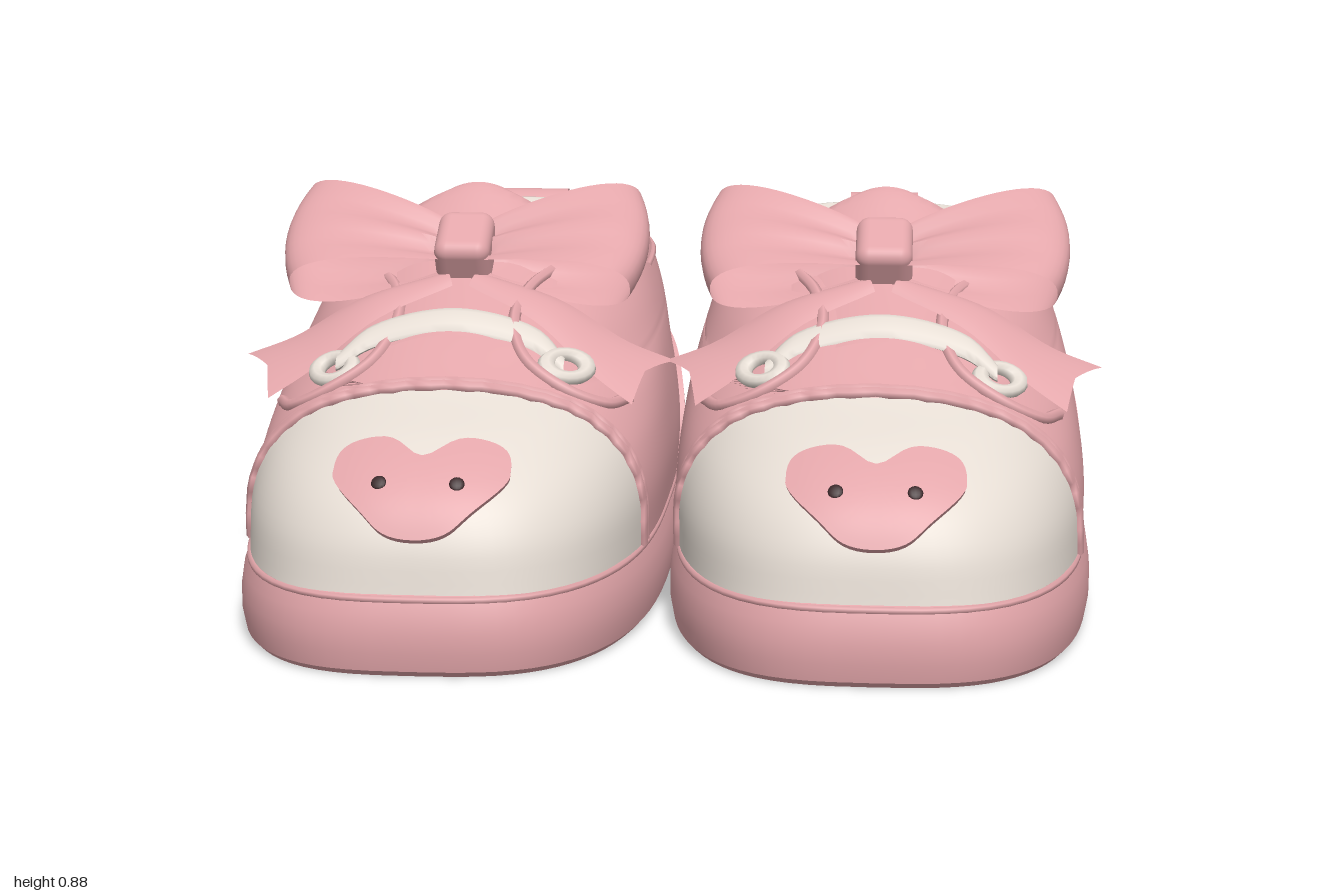
import * as THREE from 'three';
import { mergeVertices, toCreasedNormals } from 'three/addons/utils/BufferGeometryUtils.js';
import { RoundedBoxGeometry } from 'three/addons/geometries/RoundedBoxGeometry.js';

const V = (x, y, z) => new THREE.Vector3(x, y, z);
const TAU = Math.PI * 2;
const spow = (v, p) => Math.sign(v) * Math.pow(Math.abs(v), p);
const { clamp, smoothstep } = THREE.MathUtils;

function material(name, color) {
  const m = new THREE.MeshStandardMaterial({ color, side: THREE.DoubleSide });
  m.name = name;
  return m;
}

// Surface from a rule fn(u, v) -> Vector3, with u and v in 0..1
function grid(nu, nv, fn, crease = 0.9) {
  const pos = [], idx = [];
  for (let j = 0; j <= nv; j++)
    for (let i = 0; i <= nu; i++) pos.push(...fn(i / nu, j / nv).toArray());
  for (let j = 0; j < nv; j++)
    for (let i = 0; i < nu; i++) {
      const a = j * (nu + 1) + i, d = a + nu + 1;
      idx.push(a, a + 1, d + 1, a, d + 1, d);
    }
  const g = new THREE.BufferGeometry();
  g.setAttribute('position', new THREE.Float32BufferAttribute(pos, 3));
  g.setIndex(idx);
  return toCreasedNormals(mergeVertices(g, 1e-5), crease);
}

const tube = (pts, r, closed = false) =>
  new THREE.TubeGeometry(new THREE.CatmullRomCurve3(pts, closed), closed ? 96 : 48, r, 6, closed);

// Horizontal ring: superellipse with half width, front z, back z, front y, back y, exponent
const ring = (hw, zf, zb, yf, yb, n) => ({ hw, zf, zb, yf, yb, n });
const ringY = (r, c) => r.yb + (r.yf - r.yb) * smoothstep(c, -0.3, 0.6);
function onRing(r, a) {
  const c = Math.cos(a), zc = (r.zf + r.zb) / 2;
  return V(r.hw * spow(Math.sin(a), 2 / r.n), ringY(r, c), zc + (r.zf - zc) * spow(c, 2 / r.n));
}

// Upper: rings from the sole edge to the collar
const UPPER = [
  [0.447, 0.968, -0.82, 0.16, 0.16, 3], [0.453, 0.945, -0.83, 0.27, 0.28, 2.8],
  [0.443, 0.885, -0.83, 0.36, 0.39, 2.55], [0.425, 0.76, -0.82, 0.44, 0.49, 2.3],
  [0.403, 0.57, -0.81, 0.51, 0.57, 2.3], [0.375, 0.40, -0.80, 0.60, 0.64, 2.3],
  [0.34, 0.22, -0.79, 0.685, 0.703, 2.25], [0.3, 0.1, -0.765, 0.745, 0.725, 2.15]];
const LAST = UPPER.length - 1, CAP = 4;
const curveA = new THREE.CatmullRomCurve3(UPPER.map(r => V(r[0], r[1], r[2])), false, 'catmullrom');
const curveB = new THREE.CatmullRomCurve3(UPPER.map(r => V(r[3], r[4], r[5])), false, 'catmullrom');
function upperRing(t) {
  const a = curveA.getPoint(clamp(t / LAST, 0, 1)), b = curveB.getPoint(clamp(t / LAST, 0, 1));
  return ring(a.x, a.y, a.z, b.x, b.y, b.z);
}
// Angle at which the toe cap seam crosses the ring
function seamAngle(t) {
  if (t >= CAP) return 0;
  const r = upperRing(t), zc = (r.zf + r.zb) / 2, cut = 0.53 + 0.01 * t;
  return Math.acos(clamp(((cut - zc) / (r.zf - zc)) ** (r.n / 2), 0, 1));
}

function createShoe(side, mats) {
  const { pink, cream, dark } = mats;
  const shoe = new THREE.Group();
  shoe.name = side > 0 ? 'leftShoe' : 'rightShoe';
  const add = (name, geo, mat, parent = shoe) => {
    const m = new THREE.Mesh(geo, mat);
    m.name = name;
    parent.add(m);
    return m;
  };
  const shift = -side * 0.02;
  const upper = (t, a) => {
    const p = onRing(upperRing(t), a);
    p.x += shift * t / LAST;
    return p;
  };
  // Point of the upper above a given x and z
  const above = (x, z, lift) => {
    let lo = 0, hi = LAST;
    for (let i = 0; i < 24; i++) {
      const t = (lo + hi) / 2, r = upperRing(t), zc = (r.zf + r.zb) / 2;
      const f = Math.abs((x - shift * t / LAST) / r.hw) ** r.n + Math.abs((z - zc) / (r.zf - zc)) ** r.n;
      if (f < 1) lo = t; else hi = t;
    }
    const r = upperRing(lo), zc = (r.zf + r.zb) / 2;
    return V(x, ringY(r, spow((z - zc) / (r.zf - zc), r.n / 2)) + lift, z);
  };
  const loft = (rows, crease) => grid(80, rows.length - 1, (u, v) => {
    const r = rows[Math.round(v * (rows.length - 1))], p = onRing(r, u * TAU);
    p.x += shift * (r.yb > 0.18 ? 1 : 0);
    return p;
  }, crease);

  // Sole
  const sole = (inset, y) => ring(0.464 - inset, 1 - inset, -0.843 + inset, y, y, 3);
  add('sole', loft([ring(0, 0.08, 0.08, 0, 0, 2), sole(0.018, 0), sole(0.007, 0.012), sole(0, 0.05),
    sole(0, 0.09), sole(0.006, 0.13), sole(0.017, 0.158), sole(0.035, 0.168), sole(0.06, 0.165)], 0.5), pink);
  add('soleSeam', tube(Array.from({ length: 48 }, (_, i) => onRing(sole(0.02, 0.16), i / 48 * TAU)), 0.008, true), pink);

  // Upper, toe cap and the raised trim between them
  add('upper', grid(96, 42, (u, v) => {
    const t = v * LAST, a = seamAngle(t);
    return upper(t, a + u * (TAU - 2 * a));
  }), pink);
  add('toeCap', grid(40, 32, (u, v) => {
    const t = CAP * (1 - (1 - v) ** 2), a = seamAngle(t);
    return upper(t, (2 * u - 1) * a);
  }), cream);
  const seam = Array.from({ length: 41 }, (_, i) => {
    const s = i / 20 - 1, t = CAP * (1 - s * s);
    return upper(t, Math.sign(s) * seamAngle(t));
  });
  add('toeTrim', tube(seam.map((p, i) => V(p.x, p.y + 0.006, p.z - 0.014 + 0.008 * (i % 2))), 0.014), pink);
  add('toeStitch', tube(seam.map((p, i) => V(p.x * 1.01, p.y + 0.012, p.z - 0.04 + 0.006 * (i % 2))), 0.01), pink);

  // Heel counter, raised from the upper with a bevelled top edge
  add('heelCounter', grid(100, 13, (u, v) => {
    const a = Math.PI + 1.45 * Math.sin((u - 0.5) * Math.PI);
    const q = clamp((upper(1, a).z + 0.58) / 0.4, 0, 1);
    const p = upper(2.68 * Math.sqrt(1 - q * q) * Math.min(1, v * 13 / 12), a);
    const k = v > 0.95 ? 0 : 0.012;
    return p.add(V(Math.sin(a) * k, 0, Math.cos(a) * k));
  }), pink);
  add('collarSeam', tube(Array.from({ length: 40 }, (_, i) => upper(5.4, 1.5 + i / 39 * (TAU - 3))), 0.008), pink);

  // Padded collar, lining and insole
  add('lining', loft([ring(0.304, 0.105, -0.765, 0.742, 0.715, 2.15), ring(0.297, 0.095, -0.755, 0.757, 0.729, 2.15),
    ring(0.282, 0.065, -0.732, 0.757, 0.731, 2.15), ring(0.266, 0.03, -0.7, 0.735, 0.71, 2.15),
    ring(0.26, 0, -0.675, 0.69, 0.67, 2.15), ring(0.272, -0.02, -0.68, 0.45, 0.45, 2.2),
    ring(0.275, -0.03, -0.68, 0.21, 0.21, 2.2), ring(0, -0.35, -0.35, 0.2, 0.2, 2)]), cream);

  // Tongue with a pale back; x of each point is its half width
  const front = new THREE.CatmullRomCurve3([V(0.14, 0.6, 0.42), V(0.15, 0.7, 0.22), V(0.175, 0.79, 0.07), V(0.17, 0.86, -0.02), V(0.15, 0.87, -0.04)]);
  const back = new THREE.CatmullRomCurve3([V(0.15, 0.87, -0.04), V(0.175, 0.83, -0.06), V(0.2, 0.73, -0.06), V(0.2, 0.6, -0.02)]);
  const tongue = (curve, bend) => grid(24, 16, (u, v) => {
    const p = curve.getPoint(v), s = 2 * u - 1, k = bend(v);
    return V(s * p.x, p.y - s * s * (0.03 + 0.06 * k), p.z - s * s * 0.01 * k);
  });
  add('tongue', tongue(front, v => v * v), pink);
  add('tongueBack', tongue(back, v => 1 - 0.3 * v), cream);

  // Lace strap, eyelets and quarter edges
  const lace = new THREE.CatmullRomCurve3([V(-0.25, 0.535, 0.425), V(-0.18, 0.585, 0.385), V(0, 0.622, 0.372), V(0.18, 0.585, 0.385), V(0.25, 0.535, 0.425)]);
  add('lace', grid(12, 32, (u, v) => {
    const w = 0.022 + 0.02 * Math.pow(Math.sin(v * Math.PI), 0.5), c = Math.cos(u * TAU) * w, s = Math.sin(u * TAU) * 0.014;
    return lace.getPoint(v).add(V(0, c * 0.5 + s * 0.86, -c * 0.86 + s * 0.5));
  }), cream);
  for (const s of [-1, 1]) {
    const eyelet = add('eyelet', new THREE.TorusGeometry(0.036, 0.016, 8, 20), cream);
    eyelet.position.copy(above(s * 0.255, 0.425, 0.006));
    eyelet.scale.x = 1.35;
    eyelet.lookAt(eyelet.position.clone().add(V(s * 0.35, 0.8, 0.45)));
    const edge = [[0.2, 0.12], [0.15, 0.22], [0.13, 0.34], [0.17, 0.45], [0.26, 0.49], [0.34, 0.46], [0.385, 0.36]];
    add('quarterEdge', tube(edge.map(([x, z]) => above(s * x, z, 0)), 0.014), pink);
  }

  // Bow: two puffed loops and a knot lying on the slope of the instep
  const bow = new THREE.Group();
  bow.name = 'bow';
  bow.position.set(0, 0.735, 0.17);
  bow.rotation.x = -Math.PI / 3;
  shoe.add(bow);
  for (const s of [-1, 1]) {
    add('bowLoop', grid(48, 10, (u, v) => {
      const a = u * TAU, k = (1 - Math.cos(a)) / 2, w = 2 * v - 1;
      const fold = 0.012 * Math.cos(w * 7) * (1 - k);
      return V(s * (0.02 + 0.39 * k - 0.03 * w * w * k), 0.035 * k + w * (0.055 + 0.105 * Math.pow(k, 0.75)),
        0.012 + 0.08 * spow(Math.sin(a), 0.8) * (0.4 + 0.6 * k) + fold);
    }), pink, bow);
    // Ribbon tail with a notched end
    const mid = new THREE.CatmullRomCurve3([V(0.03, 0.69, 0.235), V(0.2, 0.632, 0.29), V(0.34, 0.54, 0.34), V(0.44, 0.49, 0.36)]);
    add('bowTail', grid(8, 16, (u, v) => {
      const w = 2 * u - 1, p = mid.getPoint(v * (0.93 + 0.07 * Math.abs(w)));
      const h = w * (0.03 + 0.072 * v);
      return V(s * (p.x - h * 0.4), p.y - h * 0.3 + 0.014 * (1 - w * w), p.z + h * 0.9);
    }), pink);
  }
  add('bowKnot', new RoundedBoxGeometry(0.125, 0.15, 0.125, 4, 0.03), pink, bow).position.z = 0.015;

  // Heart patch following the toe cap, with two dark eyes
  const onCap = (x, t, k) => {
    const r = upperRing(t), zc = (r.zf + r.zb) / 2, f = (1 - Math.abs(x / r.hw) ** r.n) ** (1 / r.n);
    return V(x + x * 0.8 * k, r.yf + 0.65 * k, zc + (r.zf - zc) * f + 0.75 * k);
  };
  add('heart', grid(64, 9, (u, v) => {
    const a = u * TAU, q = Math.min(1, (1 - v) * 9 / 8), c = Math.cos(a);
    const x = -0.183 * Math.sin(a) * (c < 0 ? 1 - 0.22 * Math.sin(2 * a) ** 2 : 1);
    const h = c > 0 ? 0.9 * c ** 0.6 - 0.42 * Math.exp(-((x / 0.05) ** 2)) : -1.2 * (-c) ** 1.25;
    return onCap(x * q, 2.2 + h * q, v === 0 ? -0.003 : 0.014);
  }), pink);
  for (const s of [-1, 1]) {
    const eye = add('eye', new THREE.SphereGeometry(0.016, 12, 8), dark);
    eye.position.copy(onCap(s * 0.08, 2.12, 0.015));
    eye.scale.z = 0.3;
    eye.lookAt(eye.position.clone().add(V(s * 0.1, 0.65, 0.75)));
  }

  // Pull loop at the heel
  const path = [[-0.79, 0.47], [-0.9, 0.52], [-0.975, 0.575], [-0.995, 0.65], [-0.95, 0.715], [-0.885, 0.725], [-0.83, 0.67], [-0.8, 0.56]];
  const outline = k => new THREE.CatmullRomCurve3(path.map(([z, y]) => V(-0.9 + (z + 0.9) * k, 0.625 + (y - 0.625) * k, 0)), true).getPoints(48);
  const shape = new THREE.Shape(outline(1));
  shape.holes.push(new THREE.Path(outline(0.74)));
  const loop = new THREE.ExtrudeGeometry(shape, { depth: 0.17, bevelEnabled: false });
  loop.rotateY(-Math.PI / 2).translate(0.085 + shift, 0, 0);
  add('heelLoop', toCreasedNormals(loop, 0.8), pink);

  shoe.position.x = side * 0.468;
  return shoe;
}

export function createModel() {
  const mats = {
    pink: material('pink fabric', 0xe2a5a9),
    cream: material('cream fabric', 0xe6ddd4),
    dark: material('dark eyes', 0x3a2628),
  };
  const model = new THREE.Group();
  model.name = 'babyShoes';
  for (const side of [-1, 1]) model.add(createShoe(side, mats));
  return model;
}
